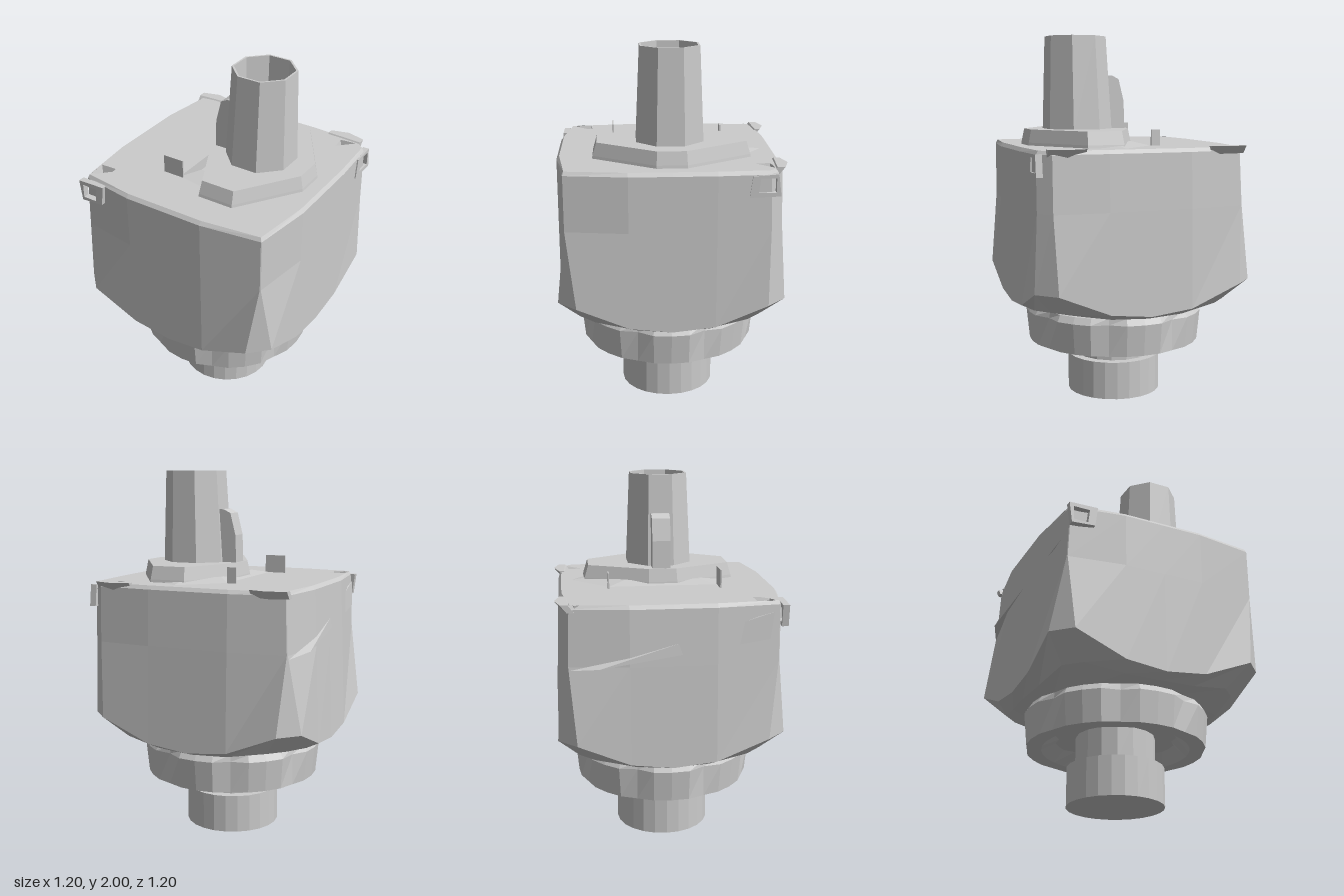
import * as THREE from 'three';
import { ConvexGeometry } from 'three/addons/geometries/ConvexGeometry.js';

const mat = new THREE.MeshStandardMaterial({ color: 0xcccccc, flatShading: true, side: THREE.DoubleSide });

// Skin a stack of closed rings (each a list of [x, y, z]), optionally capping the ends.
function loft(rings, capBottom = false, capTop = false) {
  const n = rings[0].length, pos = rings.flat(2), idx = [];
  for (let r = 0; r < rings.length - 1; r++) {
    for (let i = 0; i < n; i++) {
      const j = (i + 1) % n, a = r * n, b = a + n;
      idx.push(a + i, a + j, b + j, a + i, b + j, b + i);
    }
  }
  const cap = (ring, start, up) => {
    const c = pos.length / 3;
    for (let k = 0; k < 3; k++) pos.push(ring.reduce((s, p) => s + p[k], 0) / n);
    for (let i = 0; i < n; i++) {
      const j = (i + 1) % n;
      idx.push(c, start + (up ? i : j), start + (up ? j : i));
    }
  };
  if (capBottom) cap(rings[0], 0, false);
  if (capTop) cap(rings.at(-1), (rings.length - 1) * n, true);
  const g = new THREE.BufferGeometry();
  g.setAttribute('position', new THREE.Float32BufferAttribute(pos, 3));
  g.setIndex(idx);
  const flat = g.toNonIndexed();
  flat.computeVertexNormals();
  return flat;
}

// Regular ring, running from +z towards +x.
function circle(r, y, n, cx = 0, cz = 0, offset = 0, wave = () => 1) {
  return Array.from({ length: n }, (_, i) => {
    const a = offset + (i / n) * Math.PI * 2, q = r * wave(i);
    return [cx + q * Math.sin(a), y, cz + q * Math.cos(a)];
  });
}

// Square outline, five points to a side. Corners close to a point as pinch goes from 0 to 1,
// except the back left one, which stays chamfered.
function squareOutline(half, pinch) {
  const pts = [];
  for (let side = 0; side < 4; side++) {
    for (const t of [-2, -1, 0, 1, 2]) {
      const corner = Math.abs(t) === 2;
      const k = (side === 1 && t === 2) || (side === 2 && t === -2) ? pinch * 0.35 : pinch;
      let p = corner ? [Math.sign(t) * (0.5 + 0.051 * k), half - 0.045 * k] : [t * 0.225, half];
      for (let s = 0; s < side; s++) p = [p[1], -p[0]];
      pts.push(p);
    }
  }
  return pts;
}

const toShape = (pts) => new THREE.Shape(pts.map(([x, y]) => new THREE.Vector2(x, y)));

export function createModel() {
  const model = new THREE.Group();
  const add = (name, geometry) => {
    const m = new THREE.Mesh(geometry, mat);
    m.name = name;
    model.add(m);
    return m;
  };

  // Foot, neck and notched collar
  add('foot', loft([circle(0.262, 0, 24), circle(0.262, 0.21, 24)], true, true));
  add('neck', loft([circle(0.215, 0.2, 16), circle(0.215, 0.4, 16)]));
  const notch = (depth) => (i) => (i % 4 === 0 ? 1 - depth : 1);
  const collarProfile = [
    [0.2, 0.38, 0], [0.33, 0.37, 0.08], [0.4, 0.31, 0], [0.485, 0.31, 0.02],
    [0.502, 0.48, 0.06], [0.48, 0.515, 0.03], [0.42, 0.53, 0],
  ];
  add('collar', loft(collarProfile.map(([r, y, d]) => circle(r, y, 32, 0, 0, Math.PI / 8, notch(d)))));

  // Body: square housing with the right and back walls leaning in, rounded under to the collar
  const lean = ([x, y, z]) => {
    const s = Math.max(0, (y - 0.65) / 0.76);
    return [x < -0.5 ? x * (1 - 0.06 * s) : x, y, z < -0.5 ? z * (1 - 0.045 * s) : z];
  };
  const bottomY = (r) => 0.55 + 0.14 * ((r - 0.6) / 0.181) ** 1.15;
  const under = (k, drop) => squareOutline(0.6, 0).map(([x, z]) => {
    const r = Math.hypot(x, z), q = (0.46 + (r - 0.46) * k) / r;
    return [x * q, 0.515 + (bottomY(r) - 0.515) * drop, z * q];
  });
  const wall = (half, pinch, y) => squareOutline(half, pinch).map(([x, z]) => lean([x, y, z]));
  const rim = wall(0.585, 0.9, 1.415);
  add('body', loft([under(0, 0), under(0.55, 0.3), under(1, 1), wall(0.6, 1, 1.1), wall(0.6, 1, 1.395), rim]));

  // Lid with a bolt pocket near each corner
  const lid = toShape(rim.map(([x, , z]) => [x, -z]));
  const pockets = [[-0.47, -0.47, 0.3], [0.475, 0.46, 0.15], [-0.475, 0.475, 0.05], [0.48, -0.47, 0.1]];
  for (const [x, z, turn] of pockets) {
    const mouth = circle(0.065, 1.415, 4, x, z, Math.PI / 4 + turn);
    const floor = circle(0.04, 1.34, 4, x, z, Math.PI / 4 + turn);
    lid.holes.push(new THREE.Path(mouth.map(([px, , pz]) => new THREE.Vector2(px, -pz))));
    add('boltPocket', loft([mouth, floor], false, true));
  }
  add('lid', new THREE.ShapeGeometry(lid).rotateX(-Math.PI / 2).translate(0, 1.415, 0));

  // Bolt lugs on the walls at two opposite corners
  const frame = toShape([[-0.53, 1.28], [-0.4, 1.29], [-0.385, 1.4], [-0.545, 1.395]]);
  frame.holes.push(toShape([[-0.52, 1.3], [-0.52, 1.375], [-0.43, 1.375], [-0.44, 1.3]]));
  const frameGeo = new THREE.ExtrudeGeometry(frame, { depth: 0.035, bevelEnabled: false }).translate(0, 0, 0.562);
  add('frontBoltLug', frameGeo);
  add('leftBoltLug', frameGeo.clone().rotateY(Math.PI / 2).applyMatrix4(new THREE.Matrix4().makeRotationX(Math.PI))
    .translate(0, 2.68, 0));

  // Small raised lips on the back corners
  const lip = [[0.1, -0.53], [0.1, -0.57], [0, -0.598], [-0.1, -0.57], [-0.1, -0.54]];
  for (const s of [-1, 1]) {
    add('backLip', loft([
      lip.map(([x, z]) => [s * (0.44 + x), 1.38, z * 0.94]),
      lip.map(([x, z]) => [s * (0.44 + x), 1.422, z]),
    ], true, true));
  }

  // Slim diagonal ridge across the right wall
  add('wallRidge', new ConvexGeometry([
    [-0.54, 1.08, -0.53], [-0.54, 1.36, 0.52], [-0.6, 1.1, -0.38], [-0.55, 1.22, 0.5],
  ].map((p) => new THREE.Vector3(...p))));

  // Long eight-sided boss plate with sloping edges
  const plate = [[0.09, 0.41], [0.29, 0.41], [0.515, 0.08], [0.515, -0.08],
    [0.29, -0.43], [0.09, -0.43], [-0.075, -0.08], [-0.075, 0.08]];
  const plateRing = (k, y) => plate.map(([x, z]) => [0.22 + (x - 0.22) * k, y, z * k]);
  add('bossPlate', loft([plateRing(1, 1.41), plateRing(0.99, 1.43), plateRing(0.94, 1.5)], false, true));

  // Low fillet behind and beside the plate
  const fillet = [[-0.1, 0.3], [0.2, 0.35], [0.25, -0.4], [0.11, -0.5], [-0.1, -0.3]];
  add('plateFillet', loft([
    fillet.map(([x, z]) => [x, 1.415, z]),
    fillet.map(([x, z]) => [0.15 + (x - 0.15) * 0.7, 1.435, z * 0.7]),
  ], false, true));

  // Hollow tapered eight-sided pipe with a square peg inside
  const pipe = [[0.192, 1.49, 0.215], [0.168, 2, 0.224], [0.157, 2, 0.224], [0.15, 1.51, 0.22]];
  add('pipe', loft(pipe.map(([r, y, x]) => circle(r, y, 8, x, 0, Math.PI / 8)), false, true));
  const peg = [[0.085, 1.5], [0.035, 1.62]];
  add('peg', loft(peg.map(([r, y]) => circle(r, y, 4, 0.235, -0.005, Math.PI / 4)), false, true));

  // Rib against the pipe
  const rib = toShape([[0.06, 1.48], [0.06, 1.79], [0.03, 1.79], [-0.01, 1.77], [-0.04, 1.65], [-0.045, 1.48]]);
  add('rib', new THREE.ExtrudeGeometry(rib, { depth: 0.1, bevelEnabled: false }).translate(0, 0, -0.055));

  // Thin upright tabs on the lid
  add('frontTab', new THREE.BoxGeometry(0.12, 0.11, 0.008).translate(-0.14, 1.46, 0.3));
  add('backTab', new THREE.BoxGeometry(0.05, 0.09, 0.008).translate(-0.13, 1.455, -0.305));

  return model;
}
